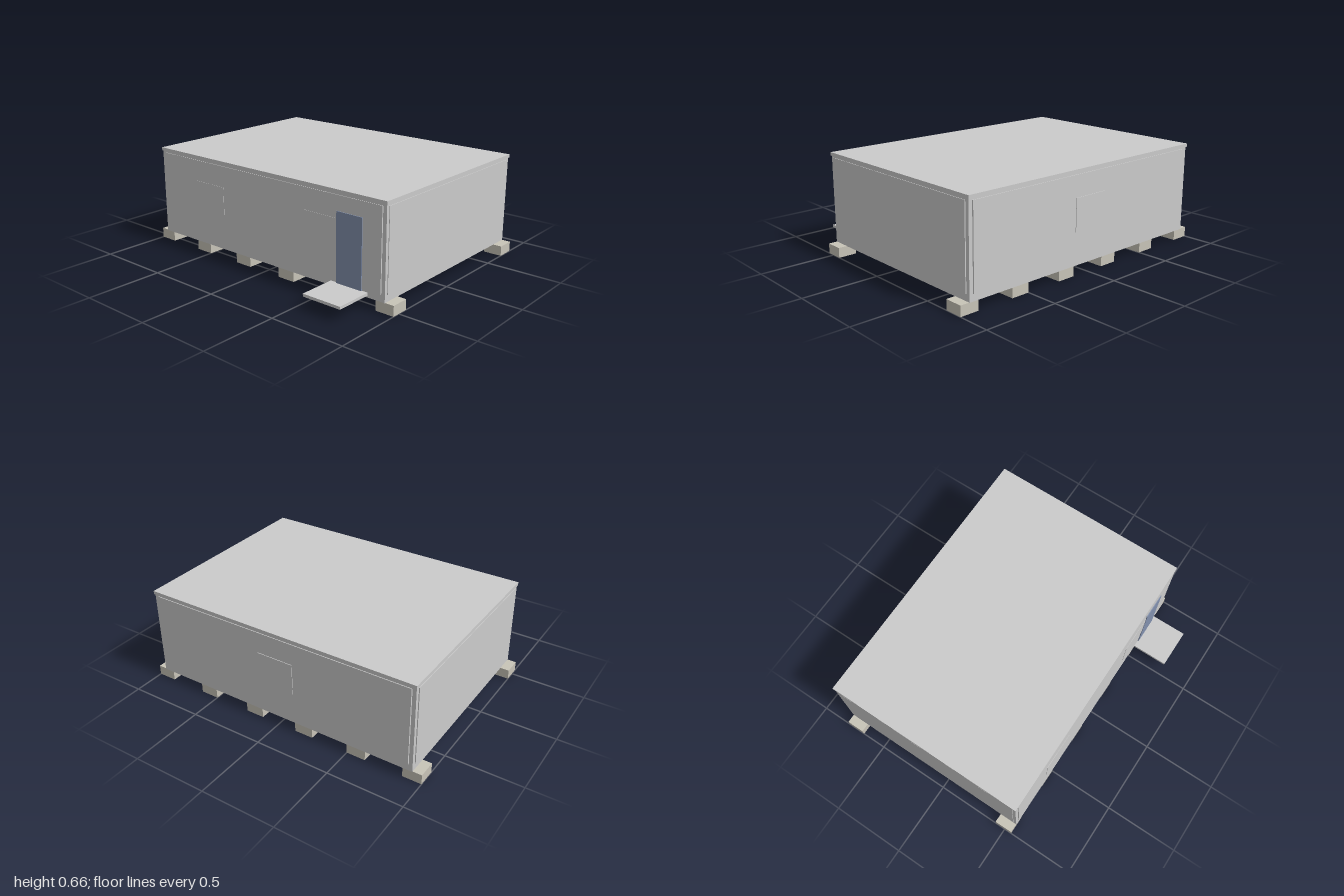
import * as THREE from 'three';

const grey = new THREE.MeshStandardMaterial({ color: 0xcccccc, flatShading: true });
const concrete = new THREE.MeshStandardMaterial({ color: 0xc8c4b8, flatShading: true });
const floorBrown = new THREE.MeshStandardMaterial({ color: 0xb5a590, flatShading: true });
const doorBlue = new THREE.MeshStandardMaterial({ color: 0x8290ad, flatShading: true });

export function createModel() {
  const model = new THREE.Group();

  // Box given by its extents on each axis
  function box(name, [x0, x1], [y0, y1], [z0, z1], material = grey) {
    const mesh = new THREE.Mesh(new THREE.BoxGeometry(x1 - x0, y1 - y0, z1 - z0), material);
    mesh.position.set((x0 + x1) / 2, (y0 + y1) / 2, (z0 + z1) / 2);
    mesh.name = name;
    model.add(mesh);
  }

  const halfX = 0.94, back = -0.793, front = 0.553;
  const base = 0.065, roofLow = 0.64;

  // Floor slab, and the frame's bottom and top rails
  box('floor', [-0.925, 0.925], [0.067, 0.1], [back + 0.015, front - 0.015], floorBrown);
  for (const [name, y] of [['bottomRail', [base, 0.108]], ['topRail', [0.628, roofLow]]]) {
    box(name + 'Front', [-halfX, halfX], y, [front - 0.015, front]);
    box(name + 'Back', [-halfX, halfX], y, [back, back + 0.015]);
    for (const s of [-1, 1]) {
      const x = s > 0 ? [0.925, halfX] : [-halfX, -0.925];
      box(name + (s > 0 ? 'Left' : 'Right'), x, y, [back + 0.015, front - 0.015]);
    }
  }

  // Corner posts
  for (const x of [[-halfX, -0.915], [0.915, halfX]])
    for (const z of [[back, back + 0.025], [front - 0.025, front]])
      box('cornerPost', x, [0.108, 0.628], z);

  // Wall panels standing slightly proud of the frame
  const wallY = [0.108, 0.63];
  box('frontWall', [-0.912, 0.912], wallY, [front - 0.025, 0.557]);
  box('backWall', [-0.912, 0.912], wallY, [-0.798, back + 0.025]);
  box('leftWall', [0.915, 0.944], wallY, [-0.765, 0.531]);
  box('rightWall', [-0.944, -0.915], wallY, [-0.765, 0.531]);

  // Flat roof slab
  box('roof', [-0.945, 0.945], [roofLow, 0.662], [-0.8, 0.558]);

  // Shallow windows: two in front, one at the back
  for (const x of [-0.47, 0.47])
    box('frontWindow', [x - 0.125, x + 0.125], [0.28, 0.49], [0.55, 0.559]);
  box('backWindow', [-0.125, 0.125], [0.28, 0.49], [-0.802, -0.79]);

  // Door and its entrance step
  box('door', [0.595, 0.78], [0.095, 0.535], [0.545, 0.562], doorBlue);
  box('entranceStep', [0.55, 0.82], [0.077, 0.095], [front, 0.8]);

  // Two rows of foundation blocks
  for (let i = 0; i < 6; i++) {
    const x = -0.9375 + i * 0.375;
    for (const z of [[-0.79, -0.67], [0.43, 0.55]])
      box('foundationBlock', [x - 0.0625, x + 0.0625], [0, 0.066], z, concrete);
  }

  return model;
}
